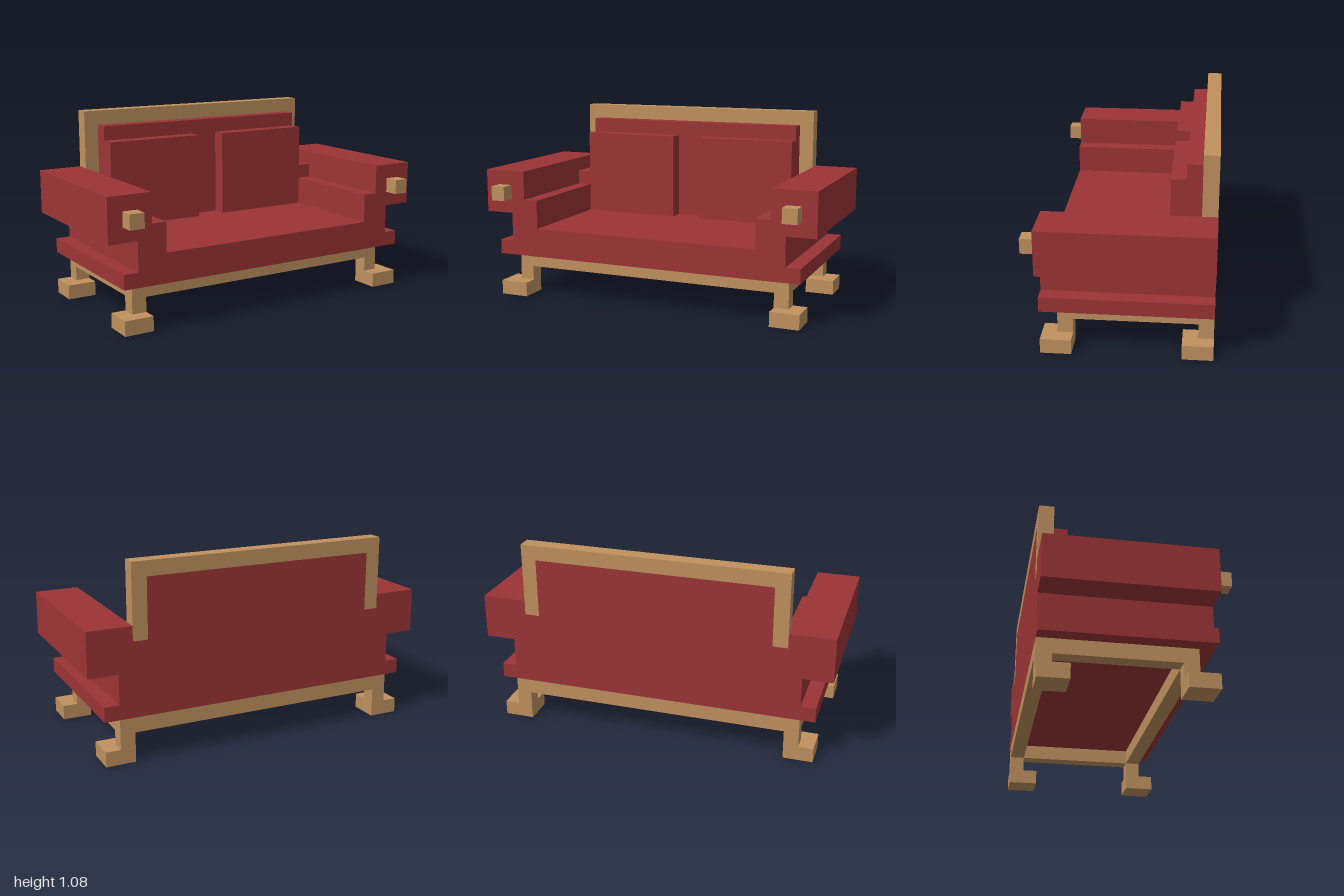
import * as THREE from 'three';

const U = 1 / 12; // the sofa sits on a grid of twelfths

export function createModel() {
  const sofa = new THREE.Group();
  sofa.name = 'sofa';
  const fabric = new THREE.MeshStandardMaterial({ name: 'red fabric', color: 0x9c3436 });
  const wood = new THREE.MeshStandardMaterial({ name: 'light wood', color: 0xc0915f });

  const add = (name, geometry, material) => {
    const mesh = new THREE.Mesh(geometry, material);
    mesh.name = name;
    sofa.add(mesh);
  };

  // Box from its limits in grid units
  const box = (name, material, x0, x1, y0, y1, z0, z1) => {
    const g = new THREE.BoxGeometry((x1 - x0) * U, (y1 - y0) * U, (z1 - z0) * U);
    g.translate((x0 + x1) / 2 * U, (y0 + y1) / 2 * U, (z0 + z1) / 2 * U);
    add(name, g, material);
  };

  // Outline mirrored in x from its right half, extruded from z0 to z1
  const mirroredExtrude = (half, z0, z1) => {
    const left = half.map(([x, y]) => [-x, y]).reverse();
    const shape = new THREE.Shape([...half, ...left].map(([x, y]) => new THREE.Vector2(x * U, y * U)));
    const g = new THREE.ExtrudeGeometry(shape, { depth: (z1 - z0) * U, bevelEnabled: false });
    return g.translate(0, 0, z0 * U);
  };

  // Upholstered body: base ledge, sides, scroll arms, inner steps and seat
  add('body', mirroredExtrude([
    [11, 3], [11, 4], [10, 4], [10, 6], [12, 6], [12, 9], [9, 9], [9, 7], [8, 7], [8, 5],
  ], -6, 5), fabric);

  // Backrest with low shoulders
  box('backrest', fabric, -8, 8, 5, 12, -6, -4);

  // Wooden rail around the backrest
  add('backrestRail', mirroredExtrude([[8, 12], [8, 8], [9, 8], [9, 13]], -6, -5), wood);

  // Wooden base frame, open in the middle
  const ring = new THREE.Shape([[-10, -4], [10, -4], [10, 6], [-10, 6]]
    .map(([x, y]) => new THREE.Vector2(x * U, y * U)));
  ring.holes.push(new THREE.Path([[-9, -3], [-9, 5], [9, 5], [9, -3]]
    .map(([x, y]) => new THREE.Vector2(x * U, y * U))));
  const frame = new THREE.ExtrudeGeometry(ring, { depth: U, bevelEnabled: false });
  frame.rotateX(-Math.PI / 2).translate(0, 2 * U, 0);
  add('baseFrame', frame, wood);

  for (const [side, s] of [['left', 1], ['right', -1]]) {
    const pair = (name, material, a, b, ...rest) =>
      box(side + name, material, Math.min(s * a, s * b), Math.max(s * a, s * b), ...rest);

    pair('Shoulder', fabric, 8, 9, 7, 8, -6, -3);
    pair('Cushion', fabric, 1, 8, 5, 11, -4, -3);
    pair('ArmKnob', wood, 10, 11, 7, 8, 5, 6);

    // Legs on wide feet
    pair('FrontLeg', wood, 9, 10, 1, 2, 3, 4);
    pair('FrontFoot', wood, 9, 11, 0, 1, 3, 5);
    pair('BackLeg', wood, 9, 10, 1, 2, -6, -5);
    pair('BackFoot', wood, 9, 11, 0, 1, -6, -4);
  }
  return sofa;
}
